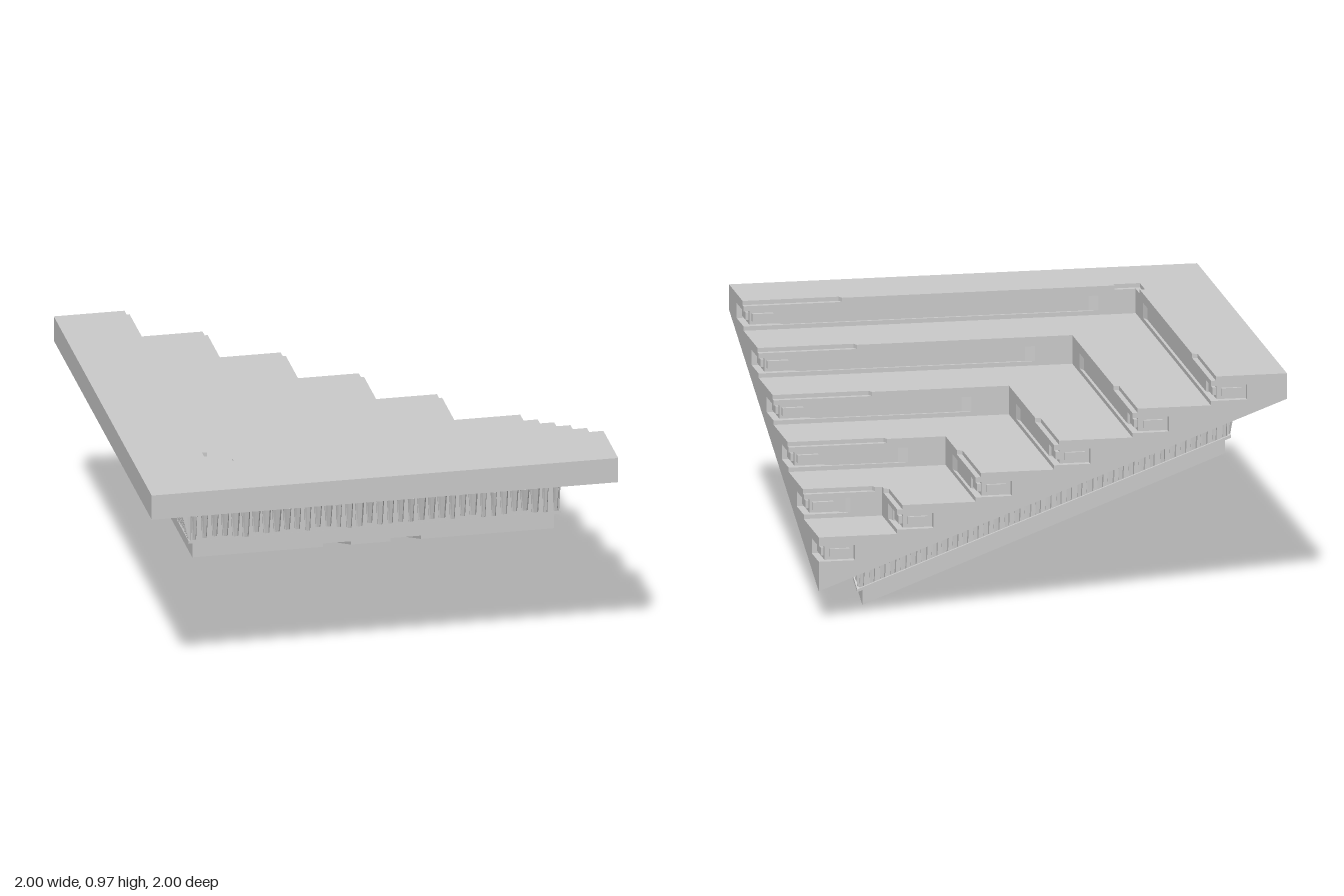
import * as THREE from 'three';
import { mergeGeometries } from 'three/addons/utils/BufferGeometryUtils.js';

const SPAN = 0.335, RISE = 0.1235, STEPS = 6;
// t is the distance across either arm of the mitred corner: +1 outside, -1 at the low inner corner
const T = ([x, z]) => Math.max(-x, z);
const slabBottom = t => 0.5 + 0.37 * t;
const friezeBottom = t => 0.365 + 0.372 * t;
const plateBottom = t => 0.297 + 0.377 * t;
const flat = y => () => y;

// Solid over a footprint [x, z], with top and bottom heights given as functions of t
function prism(outline, top, bottom, { low = outline, skip = () => false } = {}) {
  let ids = outline.map((_, i) => i).filter(i => {
    const p = outline[i], q = outline[(i + 1) % outline.length];
    return Math.hypot(p[0] - q[0], p[1] - q[1]) > 1e-6;
  });
  const flatPts = list => list.map(i => new THREE.Vector2(...outline[i]));
  if (THREE.ShapeUtils.area(flatPts(ids)) < 0) ids = ids.reverse();
  const up = i => [outline[i][0], top(T(outline[i])), outline[i][1]];
  const dn = i => [low[i][0], bottom(T(low[i])), low[i][1]];
  const pos = [];
  for (const f of THREE.ShapeUtils.triangulateShape(flatPts(ids), [])) {
    const [a, b, c] = f.map(k => ids[k]);
    pos.push(...up(a), ...up(c), ...up(b), ...dn(a), ...dn(b), ...dn(c));
  }
  ids.forEach((a, k) => {
    const b = ids[(k + 1) % ids.length], p = outline[a], q = outline[b];
    const mitre = Math.abs(p[0] + p[1]) < 1e-6 && Math.abs(q[0] + q[1]) < 1e-6;
    if (mitre || skip(T(p), T(q))) return;
    pos.push(...dn(a), ...up(a), ...up(b), ...dn(a), ...up(b), ...dn(b));
  });
  const g = new THREE.BufferGeometry();
  g.setAttribute('position', new THREE.Float32BufferAttribute(pos, 3));
  g.computeVertexNormals();
  return g;
}

// The same solid on the front arm and mirrored across the mitre onto the side arm
function both(outline, top, bottom, opts = {}) {
  const flip = pts => pts.map(([x, z]) => [-z, -x]);
  const mirrored = { ...opts };
  if (opts.low) mirrored.low = flip(opts.low);
  return [prism(outline, top, bottom, opts), prism(flip(outline), top, bottom, mirrored)];
}

export function createModel() {
  const group = new THREE.Group();
  const material = new THREE.MeshStandardMaterial({ color: 0xcccccc, flatShading: true });
  const add = (name, geos) => {
    const mesh = new THREE.Mesh(mergeGeometries(geos), material);
    mesh.name = name;
    group.add(mesh);
  };

  // Steps: base, recessed riser band, nosing and notched tread
  for (let i = 0; i < STEPS; i++) {
    const a = 0.665 + 0.01 - SPAN * i, b = a + SPAN - (i ? 0 : 0.01);
    const h = 0.98 - RISE * i, last = i === STEPS - 1;
    const skip = (p, q) => i > 0 && Math.abs(p - b) < 1e-6 && Math.abs(q - b) < 1e-6;
    const back = [[1, b], [-b, b]];
    const full = [[-a, a], [1, a], ...back];
    // Band: shallow along the riser, deeper where it wraps round the open end
    const s = 0.012, d = 0.03;
    const band = last
      ? [[0.97, -0.97], [0.97, a + 0.155], [1, a + 0.155], ...back]
      : [[-a, a], [Math.min(0.8, 0.16 - a), a], [Math.min(0.82, 0.2 - a), a + s], [0.83, a + s],
        [0.85, a + d], [1 - d, a + d], [1 - d, a + 0.155], [1, a + 0.155], ...back];
    // Tread: narrow ledge near the open end, and at the mitre of the highest step
    const c = a + 0.022, start = i === 0 ? [[-c, c], [-0.585, c], [-0.585, a]] : [[-a, a]];
    const ledge = Math.max(0.58, 0.03 - a);
    const tread = last ? full : [...start, [ledge, a], [ledge + 0.01, c], [1, c], ...back];
    const o = { skip };
    const geos = [
      ...both(full, flat(h - 0.11 + 0.005), slabBottom, o),
      ...both(band, flat(h - 0.04), flat(h - 0.105), o),
      ...both(full, flat(h - 0.018), flat(h - 0.04), o),
      ...both(tread, flat(h), flat(h - 0.018), o),
      // Small raised panel in the end recess
      ...both([[0.96, a + 0.05], [0.982, a + 0.05], [0.982, a + 0.135], [0.96, a + 0.135]],
        flat(h - 0.057), flat(h - 0.09)),
    ];
    // Slim rail along the riser band near the open end
    if (!last) geos.push(...both([[0.87, a + 0.014], [0.96, a + 0.014], [0.96, a + 0.04], [0.87, a + 0.04]],
      flat(h - 0.057), flat(h - 0.09)));
    add('step' + (i + 1), geos);
  }

  // Frieze core under the slab
  add('friezeCore', both([[-0.79, 0.79], [0.785, -0.785], [0.785, 0.79]], slabBottom, friezeBottom));

  // Carved leaves along the outer faces and the sloping open ends
  let seed = 7;
  const rand = () => (seed = (seed * 16807) % 2147483647) / 2147483647;
  const leaves = [];
  const N = 36;
  for (let i = 0; i < N; i++) {
    const u = -0.775 + 1.55 * i / (N - 1), w = 0.012 + 0.008 * rand(), f = 0.7 + 0.3 * rand();
    const leaf = (w, d) => [[-w, -0.01], [-w, d * 0.4], [-w * 0.5, d], [w * 0.5, d], [w, d * 0.4], [w, -0.01]];
    const topLeaf = leaf(w, 0.036 * f), lowLeaf = leaf(w * 0.7, 0.01);
    const place = pts => pts.map(([p, q]) => [u + p, 0.79 + q]);
    leaves.push(...both(place(topLeaf), flat(0.795), flat(0.672 + 0.02 * rand()), { low: place(lowLeaf) }));
    const end = pts => pts.map(([p, q]) => [0.785 + q, u + p]);
    leaves.push(...both(end(leaf(w, 0.015 * f)), t => slabBottom(t) - 0.008,
      t => friezeBottom(t) + 0.015, { low: end(leaf(w * 0.7, 0.008)) }));
  }
  add('friezeLeaves', leaves);

  // Thin rails above and below the leaves
  const rail = [[-0.8, 0.8], [0.797, -0.797], [0.797, 0.8]];
  add('friezeRails', [
    ...both(rail, slabBottom, t => slabBottom(t) - 0.01),
    ...both(rail, t => friezeBottom(t) + 0.012, friezeBottom),
  ]);

  // Lower plate, with two shallow channels across its underside on each arm
  const cuts = [-0.78, -0.22, -0.1, 0.07, 0.2, 0.77], plate = [];
  for (let i = 0; i < cuts.length - 1; i++) {
    const [a, b] = [cuts[i], cuts[i + 1]], lift = i % 2 ? 0.015 : 0;
    plate.push(...both([[a, -a], [b, -b], [b, 0.78], [a, 0.78]], friezeBottom, t => plateBottom(t) + lift));
  }
  add('lowerPlate', plate);

  // Rest the lowest point on the ground
  const box = new THREE.Box3().setFromObject(group);
  group.position.y = -box.min.y;
  return group;
}
